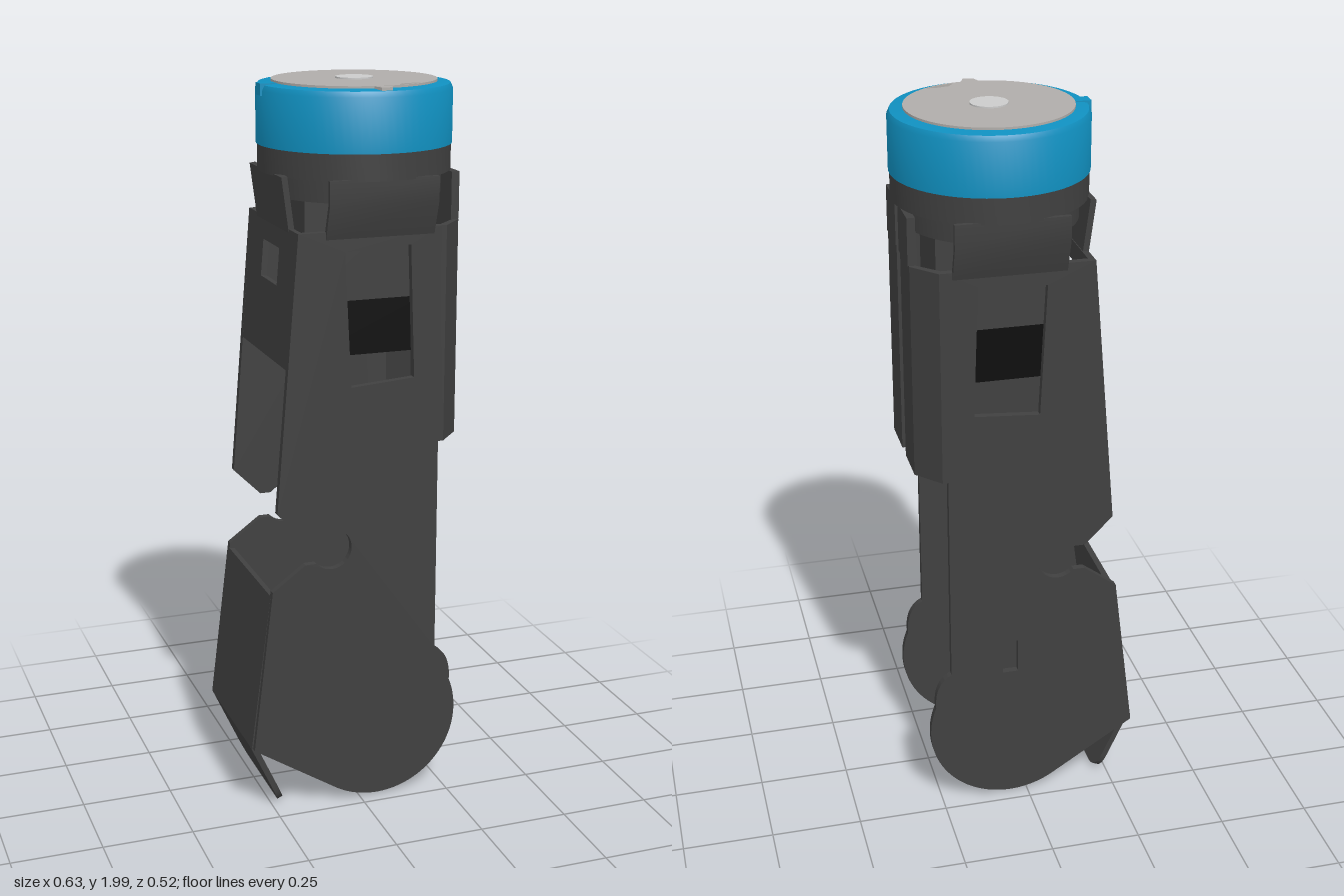
import * as THREE from 'three';
import { toCreasedNormals } from 'three/addons/utils/BufferGeometryUtils.js';

const mat = (color) => new THREE.MeshStandardMaterial({ color, side: THREE.DoubleSide });
const AXIS = 0.053; // x of the round head

export function createModel() {
  const root = new THREE.Group();
  const dark = mat(0x404040), black = mat(0x0c0c0c), blue = mat(0x1090c0), grey = mat(0xb0adaa), pale = mat(0xbcbcbc);

  const add = (name, geometry, material) => {
    const mesh = new THREE.Mesh(toCreasedNormals(geometry, 0.5), material);
    mesh.name = name;
    root.add(mesh);
    return mesh;
  };
  const toShape = (pts) => new THREE.Shape(pts.map(([x, y]) => new THREE.Vector2(x, y)));
  const extrude = (shape, depth) =>
    new THREE.ExtrudeGeometry(shape, { depth, bevelEnabled: false, curveSegments: 32 });
  const box = (name, x0, x1, y0, y1, z0, z1, material) => add(name,
    new THREE.BoxGeometry(x1 - x0, y1 - y0, z1 - z0)
      .translate((x0 + x1) / 2, (y0 + y1) / 2, (z0 + z1) / 2), material);
  const lathe = (name, pts, material) => add(name,
    new THREE.LatheGeometry(pts.map(([r, y]) => new THREE.Vector2(r, y)), 72).translate(AXIS, 0, 0), material);

  // Side plates: notched edge, round foot and a window
  const plateShape = (withSlot) => {
    const s = new THREE.Shape();
    s.moveTo(-0.175, 1.63);
    s.lineTo(-0.238, 0.88);
    s.lineTo(-0.16, 0.802);
    s.lineTo(-0.129, 0.802);
    s.absarc(-0.085, 0.765, 0.057, 2.443, -2.443, true);
    s.lineTo(-0.16, 0.728);
    s.lineTo(-0.253, 0.66);
    s.lineTo(-0.31, 0.2);
    s.absarc(0.05, 0.245, 0.232, Math.PI * 1.32, Math.PI * 2.12, false);
    s.quadraticCurveTo(0.27, 0.41, 0.22, 0.435);
    s.lineTo(0.22, 1.63);
    s.holes.push(toShape([[-0.048, 1.575], [0.135, 1.585], [0.148, 1.225], [-0.03, 1.212]]));
    if (withSlot) s.holes.push(toShape([[0.028, 0.42], [0.072, 0.42], [0.072, 0.52], [0.028, 0.52]]));
    return s;
  };
  add('frontPlate', extrude(plateShape(false), 0.02).translate(0, 0, 0.195), dark);
  add('backPlate', extrude(plateShape(true), 0.02).translate(0, 0, -0.215), dark);

  // Sheet across the plates, sloping from a top point to a bottom point in x and y
  const sheet = (name, top, bottom, half, radius, hole) => {
    const up = new THREE.Vector3(top[0] - bottom[0], top[1] - bottom[1], 0);
    const len = up.length(), s = new THREE.Shape();
    s.moveTo(-half, len);
    s.lineTo(-half, radius);
    s.quadraticCurveTo(-half, 0, -half + radius, 0);
    s.lineTo(half - radius, 0);
    s.quadraticCurveTo(half, 0, half, radius);
    s.lineTo(half, len);
    if (hole) s.holes.push(toShape(hole));
    up.normalize();
    const side = new THREE.Vector3(0, 0, 1);
    const m = new THREE.Matrix4()
      .makeBasis(side, up, side.clone().cross(up))
      .setPosition(bottom[0], bottom[1], 0);
    add(name, extrude(s, 0.016).translate(0, 0, -0.016).applyMatrix4(m), dark);
  };
  sheet('upperPanel', [-0.175, 1.63], [-0.205, 1.27], 0.205, 0.005,
    [[-0.07, 0.2], [0.07, 0.2], [0.07, 0.3], [-0.07, 0.3]]);
  sheet('lowerPanel', [-0.255, 0.645], [-0.314, 0.2], 0.2, 0.005);
  sheet('lip', [-0.314, 0.2], [-0.226, 0.006], 0.185, 0.06);

  // Mirrored rails and clips
  for (const k of [1, -1]) {
    const rail = toShape([[0.212, 0.215], [0.235, 0.215], [0.297, 0.145], [0.297, 0.024],
      [0.28, 0.024], [0.28, 0.14], [0.226, 0.195], [0.212, 0.195]].map(([x, z]) => [x, z * k]));
    add('rail', extrude(rail, 0.59).rotateX(-Math.PI / 2).translate(0, 1.04, 0), dark);
    box('railTab', 0.278, 0.3, 1.63, 1.757, ...(k > 0 ? [0.02, 0.14] : [-0.14, -0.02]), dark);

    const clip = toShape([[0.215, 1.61], [0.245, 1.7], [0.245, 1.765], [0.232, 1.765],
      [0.232, 1.7], [0.2, 1.61]].map(([z, y]) => [z * k, y]));
    add('sideClip', extrude(clip, 0.3).rotateY(Math.PI / 2).translate(-0.1, 0, 0), dark);
  }
  sheet('rearClip', [-0.195, 1.765], [-0.176, 1.62], 0.14, 0.005);

  // Core held between the plates
  box('coreUpper', -0.12, 0.22, 1.42, 1.71, -0.1, 0.1, dark);
  box('coreLower', -0.12, 0.22, 1.27, 1.42, -0.1, 0.1, black);

  // Round head
  lathe('collar', [[0, 1.7], [0.233, 1.7], [0.233, 1.76], [0.258, 1.76], [0.258, 1.83], [0, 1.83]], dark);
  lathe('ring', [[0.22, 1.83], [0.261, 1.83], [0.261, 1.972], [0.254, 1.986], [0.22, 1.99], [0.22, 1.83]], blue);
  lathe('discFloor', [[0, 1.95], [0.221, 1.95]], black);
  box('ringKey', -0.212, -0.165, 1.96, 1.991, -0.02, 0.02, blue);

  // Disc with a small opening, a tab and a centre boss
  const disc = new THREE.Shape().absarc(AXIS, 0, 0.22, 0, Math.PI * 2, false);
  disc.holes.push(toShape([[0.1, -0.207], [0.118, -0.182], [0.15, -0.174], [0.182, -0.174], [0.145, -0.196]]));
  add('disc', extrude(disc, 0.02).rotateX(-Math.PI / 2).translate(0, 1.976, 0), grey);
  const tab = toShape([[0.025, -0.21], [0.038, -0.248], [0.066, -0.25], [0.08, -0.21]]);
  add('discTab', extrude(tab, 0.015).rotateX(-Math.PI / 2).translate(0, 1.98, 0), grey);
  lathe('boss', [[0.05, 1.99], [0.05, 2], [0, 2]], pale);

  return root;
}
